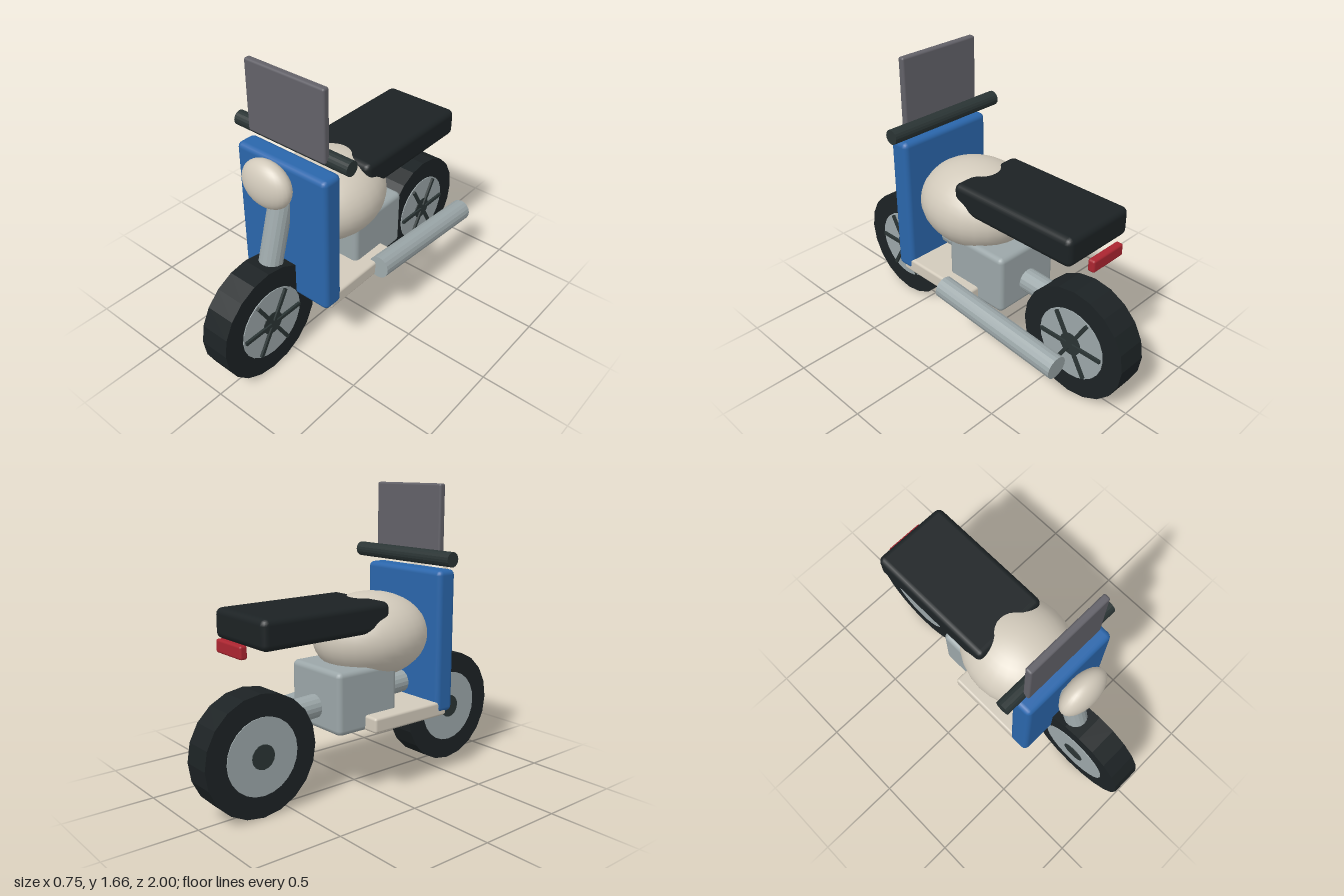
import * as THREE from 'three';
import { RoundedBoxGeometry } from 'three/addons/geometries/RoundedBoxGeometry.js';

const paint = (color, flatShading = false) => new THREE.MeshStandardMaterial({ color, flatShading });

export function createModel() {
  const model = new THREE.Group();
  model.name = 'motorbike';

  const rubber = paint(0x1c2224, true);
  const seatBlack = paint(0x1c2224);
  const darkMetal = paint(0x2a3434, true);
  const metal = paint(0x9ba6a8, true);
  const casing = paint(0x9ba6a8);
  const cream = paint(0xd2cabb);
  const blue = paint(0x2a66ab);
  const glass = paint(0x626168);
  const red = paint(0xab2530);

  const add = (name, geometry, material, x, y, z, parent = model) => {
    const mesh = new THREE.Mesh(geometry, material);
    mesh.name = name;
    mesh.position.set(x, y, z);
    parent.add(mesh);
    return mesh;
  };

  // box with softened edges
  const box = (name, material, [w, h, d], [x, y, z], r) =>
    add(name, new RoundedBoxGeometry(w, h, d, 2, r), material, x, y, z);

  // stretched sphere
  const ellipsoid = (name, material, [rx, ry, rz], [x, y, z]) =>
    add(name, new THREE.SphereGeometry(1, 28, 20).scale(rx, ry, rz), material, x, y, z);

  // round bar between two points
  const bar = (name, material, r, from, to, sides = 18) => {
    const a = new THREE.Vector3(...from), b = new THREE.Vector3(...to);
    const dir = b.clone().sub(a), mid = a.add(b).multiplyScalar(0.5);
    const mesh = add(name, new THREE.CylinderGeometry(r, r, dir.length(), sides), material, mid.x, mid.y, mid.z);
    mesh.quaternion.setFromUnitVectors(new THREE.Vector3(0, 1, 0), dir.normalize());
    return mesh;
  };

  const mid = -0.005;

  // wheels: tyre, rim disc, hub, spokes on the left side
  const disc = (r, width, sides) => new THREE.CylinderGeometry(r, r, width, sides).rotateZ(Math.PI / 2);
  for (const [name, z] of [['frontWheel', 0.67], ['rearWheel', -0.67]]) {
    const wheel = new THREE.Group();
    wheel.name = name;
    wheel.position.set(mid, 0.33, z);
    model.add(wheel);
    add('tyre', disc(0.33, 0.17, 20), rubber, 0, 0, 0, wheel);
    add('rim', disc(0.21, 0.18, 24), metal, 0, 0, 0, wheel);
    add('hub', disc(0.067, 0.19, 16), darkMetal, 0, 0, 0, wheel);
    for (let i = 0; i < 3; i++) {
      const spoke = add('spoke', new THREE.BoxGeometry(0.02, 0.02, 0.4), darkMetal, 0.094, 0, 0, wheel);
      spoke.rotation.x = i * Math.PI / 3;
    }
  }

  // structure
  bar('fork', metal, 0.065, [mid, 0.36, 0.65], [mid, 1.06, 0.448]);
  bar('frameTube', metal, 0.065, [mid, 0.533, 0.45], [mid, 0.487, -0.55]);
  bar('exhaust', metal, 0.064, [0.311, 0.438, 0.06], [0.311, 0.368, -0.767]);
  box('engine', casing, [0.42, 0.345, 0.405], [mid, 0.545, -0.075], 0.03);

  // bodywork
  box('legShield', blue, [0.6, 0.81, 0.124], [mid, 0.798, 0.414], 0.03);
  box('footboard', cream, [0.59, 0.085, 0.53], [mid, 0.418, 0.165], 0.015);
  ellipsoid('tank', cream, [0.3, 0.24, 0.34], [mid, 0.842, 0.112]);
  box('seat', seatBlack, [0.46, 0.162, 0.8], [mid, 0.98, -0.34], 0.035);

  // handlebar, screen and lights
  bar('handlebar', darkMetal, 0.041, [-0.38, 1.27, 0.368], [0.37, 1.27, 0.368]);
  box('windscreen', glass, [0.51, 0.4, 0.04], [mid, 1.465, 0.405], 0.012);
  ellipsoid('headlight', cream, [0.155, 0.132, 0.08], [mid, 1.122, 0.562]);
  box('tailLight', red, [0.23, 0.07, 0.042], [mid, 0.889, -0.78], 0.012);

  return model;
}
